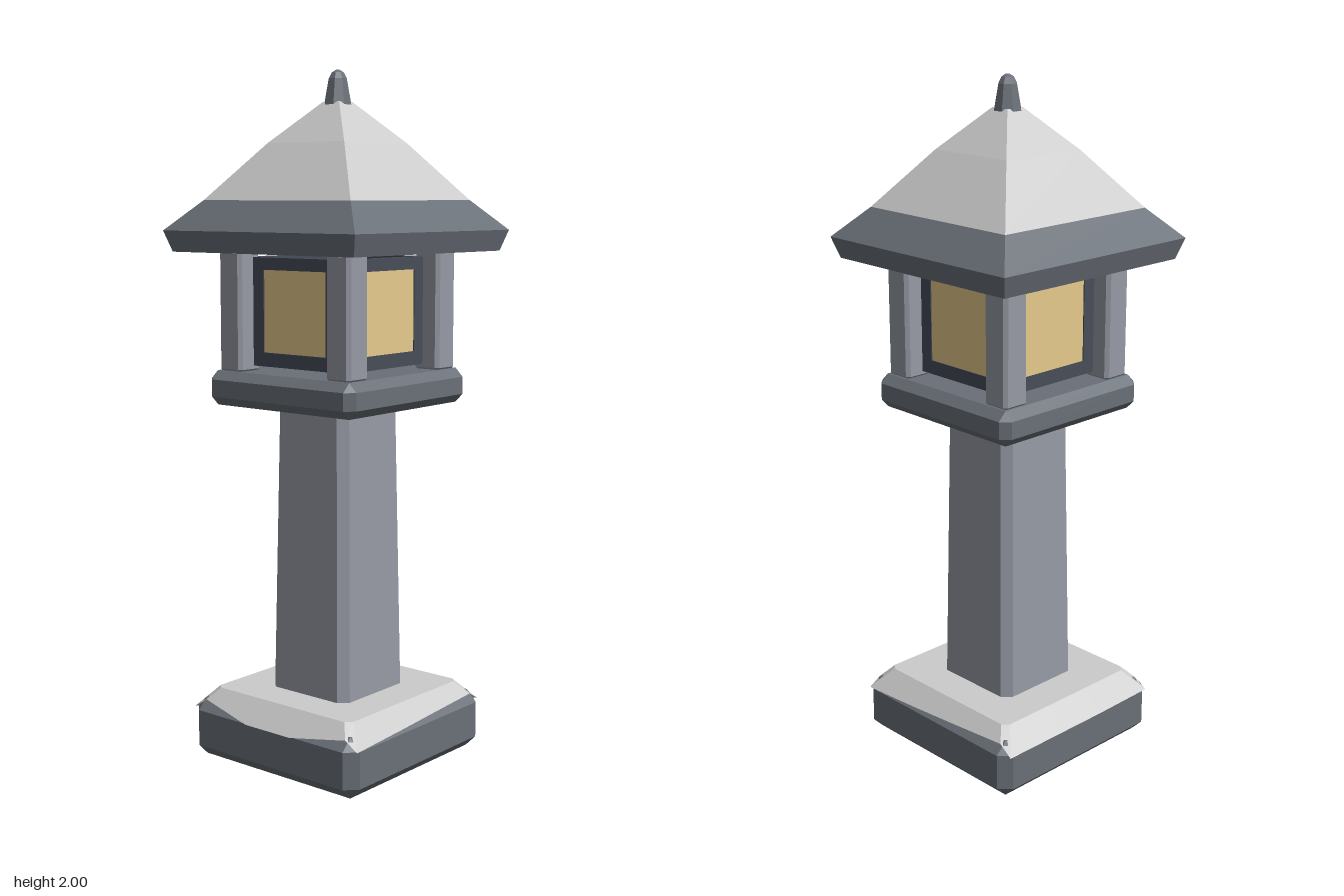
import * as THREE from 'three';

const material = (color) => new THREE.MeshStandardMaterial({ color, flatShading: true });
const darkStone = material(0x6a7078);
const paleStone = material(0x969aa4);
const frameDark = material(0x474d58);
const amber = material(0xe6ca8c);
const snow = material(0xcccccc);

// Square cross-section at height y with its corners cut by c, counter-clockwise from above
function ring(half, c, y) {
  const k = half - c;
  return [[-k, half], [k, half], [half, k], [half, -k], [k, -half], [-k, -half], [-half, -k], [-half, k]]
    .map(([x, z]) => new THREE.Vector3(x, y, z));
}

// Joins rings from bottom to top and closes both ends
function loft(rings) {
  const pos = [];
  const tri = (a, b, c) => {
    const area = b.clone().sub(a).cross(c.clone().sub(a)).length();
    if (area > 1e-9) for (const p of [a, b, c]) pos.push(p.x, p.y, p.z);
  };
  const centre = (r) => r.reduce((s, p) => s.add(p), new THREE.Vector3()).divideScalar(r.length);
  const first = rings[0], last = rings[rings.length - 1], n = first.length;
  const low = centre(first), high = centre(last);
  for (let i = 0; i < n; i++) {
    const j = (i + 1) % n;
    for (let r = 0; r < rings.length - 1; r++) {
      const a = rings[r], b = rings[r + 1];
      tri(a[i], a[j], b[j]);
      tri(a[i], b[j], b[i]);
    }
    tri(low, first[j], first[i]);
    tri(high, last[i], last[j]);
  }
  const g = new THREE.BufferGeometry();
  g.setAttribute('position', new THREE.Float32BufferAttribute(pos, 3));
  g.computeVertexNormals();
  return g;
}

// Block with every edge chamfered by c
const chamferBlock = (half, y0, y1, c) => loft([
  ring(half - c, 0, y0), ring(half, c, y0 + c), ring(half, c, y1 - c), ring(half - c, 0, y1),
]);

// Snow lying on the plinth: its lower edge rises and dips around the four sides
function plinthSnow() {
  const edge = [
    [0.17, 0.14, 0.14, 0.168],    // front
    [0.142, 0.15, 0.157, 0.165],  // +x side
    [0.142, 0.15, 0.158, 0.168],  // back
    [0.14, 0.14, 0.14, 0.142],    // -x side
  ];
  const along = [-0.93, -0.27, 0.27, 0.93];
  const up = new THREE.Vector3(0, 1, 0);
  const bottom = [], top = [];
  edge.forEach((heights, side) => heights.forEach((y, i) => {
    const half = 0.313 - (y - 0.14) * 0.88;
    const turn = side * Math.PI / 2;
    bottom.push(new THREE.Vector3(along[i] * half, y, half).applyAxisAngle(up, turn));
    top.push(new THREE.Vector3(along[i] * 0.255, 0.205, 0.255).applyAxisAngle(up, turn));
  }));
  return loft([bottom, top]);
}

export function createModel() {
  const model = new THREE.Group();
  model.name = 'stoneLantern';
  const add = (name, geometry, mat, parent = model) => {
    const mesh = new THREE.Mesh(geometry, mat);
    mesh.name = name;
    parent.add(mesh);
    return mesh;
  };

  // Plinth and tapered pillar
  add('plinth', chamferBlock(0.31, 0, 0.175, 0.034), darkStone);
  add('plinthSnow', plinthSnow(), snow);
  add('pillar', loft([ring(0.145, 0.026, 0.17), ring(0.13, 0.025, 1.06)]), paleStone);

  // Platform under the light chamber
  add('platform', chamferBlock(0.27, 1.05, 1.15, 0.025), darkStone);

  // One corner post and one window on each of the four sides
  for (let i = 0; i < 4; i++) {
    const side = new THREE.Group();
    side.name = 'chamberSide' + (i + 1);
    side.rotation.y = i * Math.PI / 2;
    const post = add('cornerPost', chamferBlock(0.043, 1.145, 1.495, 0.01), paleStone, side);
    post.position.set(0.2, 0, 0.2);
    const frame = new THREE.Shape([[-0.155, 1.165], [0.155, 1.165], [0.155, 1.475], [-0.155, 1.475]]
      .map(([x, y]) => new THREE.Vector2(x, y)));
    frame.holes.push(new THREE.Path([[-0.115, 1.205], [-0.115, 1.44], [0.115, 1.44], [0.115, 1.205]]
      .map(([x, y]) => new THREE.Vector2(x, y))));
    const frameMesh = add('windowFrame',
      new THREE.ExtrudeGeometry(frame, { depth: 0.03, bevelEnabled: false }), frameDark, side);
    frameMesh.position.z = 0.16;
    const pane = add('windowPane', new THREE.BoxGeometry(0.23, 0.235, 0.02), amber, side);
    pane.position.set(0, 1.3225, 0.177);
    model.add(side);
  }

  // Roof eaves with the snow-covered upper slopes
  add('roofEaves', loft([ring(0.333, 0, 1.49), ring(0.352, 0, 1.55), ring(0.27, 0, 1.635)]), darkStone);
  add('roofSnow', loft([ring(0.27, 0, 1.635), ring(0.141, 0, 1.795), ring(0.03, 0, 1.91)]), snow);

  // Eight-sided finial
  const profile = [[0, 1.89], [0.043, 1.89], [0.04, 1.905], [0.027, 1.975], [0.018, 1.992], [0.005, 2], [0, 2]]
    .map(([r, y]) => new THREE.Vector2(r, y));
  add('finial', new THREE.LatheGeometry(profile, 8, Math.PI / 8), darkStone);

  return model;
}
